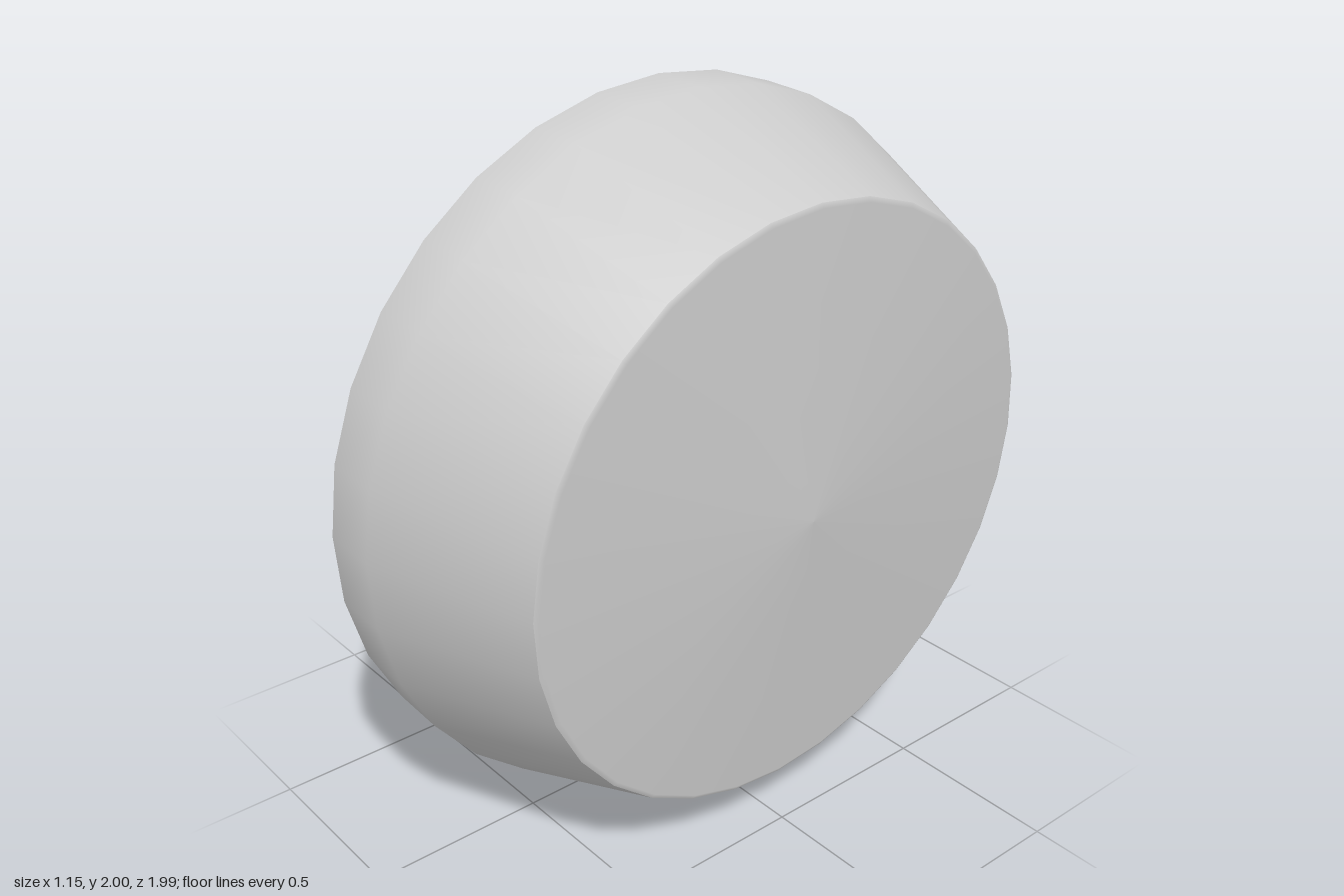
import * as THREE from 'three';

const SEGMENTS = 32;

// Solid of revolution from [radius, height] pairs, listed bottom to top
function turned(name, profile, material) {
  const points = profile.map(([r, h]) => new THREE.Vector2(r, h));
  const mesh = new THREE.Mesh(new THREE.LatheGeometry(points, SEGMENTS), material);
  mesh.name = name;
  return mesh;
}

export function createModel() {
  const grey = new THREE.MeshStandardMaterial({ color: 0xcccccc, side: THREE.DoubleSide });
  grey.name = 'housing grey';
  const red = new THREE.MeshStandardMaterial({ color: 0xdd3326 });
  red.name = 'lens red';

  const lamp = new THREE.Group();
  lamp.name = 'lamp';

  // Open housing: straight rim, then a taper towards the back plate
  lamp.add(turned('housing', [[0.997, 0], [0.997, 0.16], [0.828, 0.6]], grey));

  // Shallow back plate with a narrow bevelled edge
  lamp.add(turned('backPlate', [[0.828, 0.6], [0.815, 0.607], [0, 0.657]], grey));

  // Faceted dome seated inside the rim
  lamp.add(turned('lens', [
    [0, -0.498], [0.666, -0.386], [0.912, -0.112], [0.94, 0], [0.98, 0.158],
  ], red));

  // Lay the axis along +x, dipping slightly
  lamp.rotation.z = -Math.PI / 2 - 0.0477;
  lamp.position.set(-0.083, 1.003, 0);

  const model = new THREE.Group();
  model.name = 'model';
  model.add(lamp);
  return model;
}
